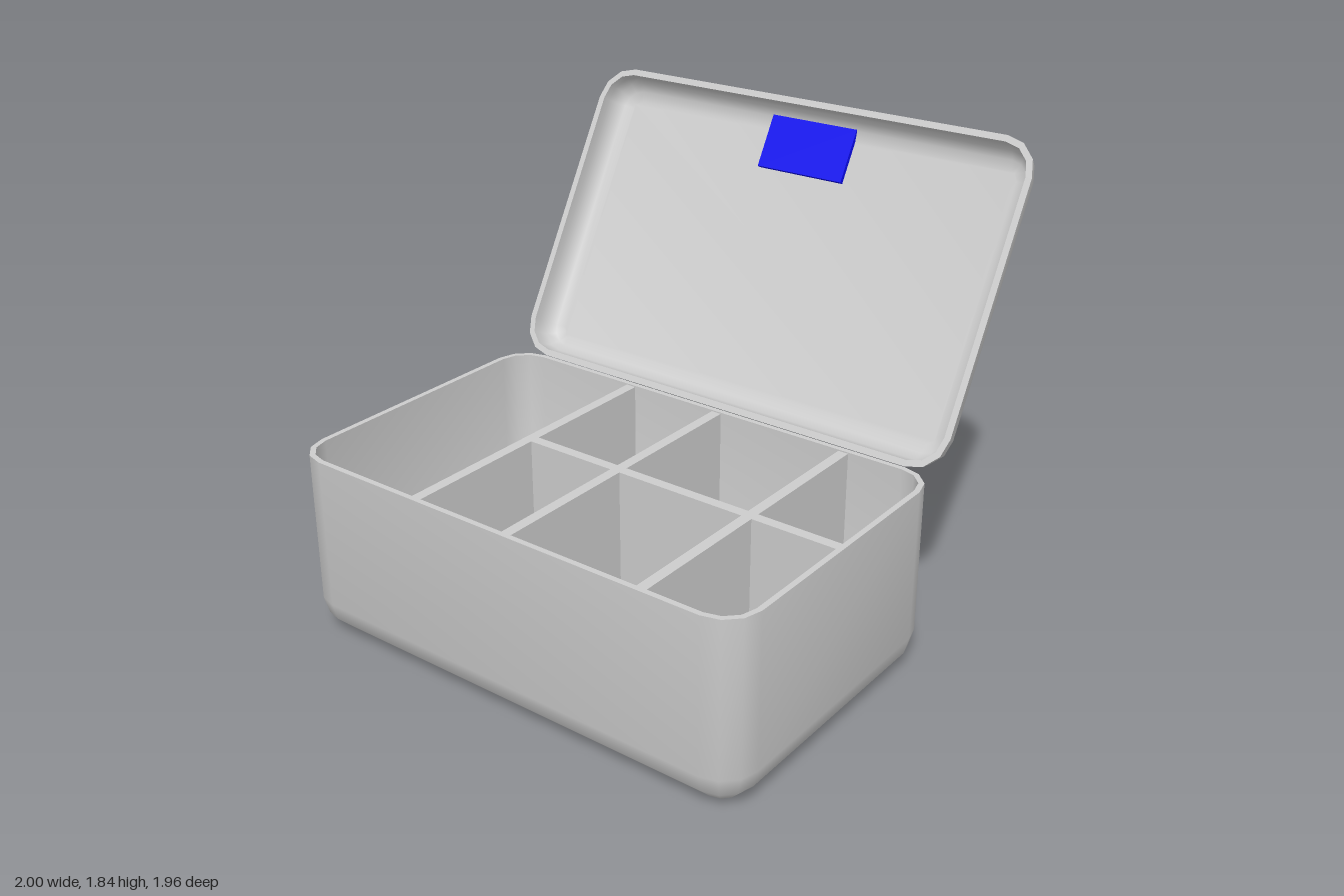
import * as THREE from 'three';
import { mergeGeometries, toCreasedNormals } from 'three/addons/utils/BufferGeometryUtils.js';

const W = 2, D = 1.26, R = 0.14, SEG = 3;
const BOX_H = 0.745, LID_H = 0.137, BACK = -0.28;
const grey = new THREE.MeshStandardMaterial({ color: 0xcccccc });
const blue = new THREE.MeshStandardMaterial({ color: 0x0a0af0 });

function addMesh(parent, name, geometry, material = grey) {
  const mesh = new THREE.Mesh(geometry, material);
  mesh.name = name;
  parent.add(mesh);
  return mesh;
}

// Rounded rectangle as (x, z) points, inset from the full footprint
function ring(inset, radius) {
  const r = Math.max(radius, 0.003), pts = [];
  const cx = W / 2 - inset - r, cz = D / 2 - inset - r;
  [[1, 1], [-1, 1], [-1, -1], [1, -1]].forEach(([sx, sz], q) => {
    for (let i = 0; i <= SEG; i++) {
      const a = (q + i / SEG) * Math.PI / 2;
      pts.push(new THREE.Vector2(sx * cx + r * Math.cos(a), sz * cz + r * Math.sin(a)));
    }
  });
  return pts;
}

// Open-topped rounded tray: outer wall, rim, inner wall, and two floor caps
function tray(height, r, wall, floor, innerR, hole) {
  const rings = [];
  for (let i = 0; i <= SEG; i++) {
    const a = i / SEG * Math.PI / 2, inset = r * (1 - Math.sin(a));
    rings.push({ pts: ring(inset, R - inset), y: r * (1 - Math.cos(a)) });
  }
  rings.push({ pts: ring(0, R), y: height });
  rings.push({ pts: ring(wall, R - wall), y: height });
  for (let i = SEG; i >= 0; i--) {
    const a = i / SEG * Math.PI / 2, inset = wall + innerR * (1 - Math.sin(a));
    rings.push({ pts: ring(inset, R - inset), y: floor + innerR * (1 - Math.cos(a)) });
  }
  const pos = [], index = [], n = rings[0].pts.length;
  rings.forEach(({ pts, y }) => pts.forEach(p => pos.push(p.x, y, p.y)));
  for (let i = 0; i < rings.length - 1; i++) {
    for (let j = 0; j < n; j++) {
      const a = i * n + j, b = i * n + (j + 1) % n;
      index.push(a, a + n, b, b, a + n, b + n);
    }
  }
  const sides = new THREE.BufferGeometry();
  sides.setAttribute('position', new THREE.Float32BufferAttribute(pos, 3));
  sides.setIndex(index);

  const cap = (level, up, cut) => {
    const shape = new THREE.Shape(level.pts);
    if (cut) shape.holes.push(new THREE.Path(cut));
    const g = new THREE.ShapeGeometry(shape);
    g.rotateX(up ? -Math.PI / 2 : Math.PI / 2).translate(0, level.y, 0);
    g.deleteAttribute('uv');
    g.deleteAttribute('normal');
    return g.toNonIndexed();
  };
  const all = [sides.toNonIndexed(), cap(rings[0], false, hole), cap(rings.at(-1), true)];
  return toCreasedNormals(mergeGeometries(all), 0.85);
}

// Upright panel whose lower corners follow the rounded inside of the box
function panelShape(a, b, roundStart) {
  const y0 = 0.02, y1 = BOX_H - 0.005, r = 0.12, s = new THREE.Shape();
  s.moveTo(b - r, y0);
  s.absarc(b - r, y0 + r, r, -Math.PI / 2, 0, false);
  s.lineTo(b, y1);
  s.lineTo(a, y1);
  if (roundStart) s.absarc(a + r, y0 + r, r, Math.PI, Math.PI * 1.5, false);
  else s.lineTo(a, y0);
  s.closePath();
  return s;
}

const extrude = (shape, depth) =>
  new THREE.ExtrudeGeometry(shape, { depth, bevelEnabled: false, curveSegments: 6 });

// Extrudes a (z, y) profile along x, centred on x
const extrudeAlongX = (shape, width, x = 0) =>
  extrude(shape, width).rotateY(-Math.PI / 2).translate(x + width / 2, 0, 0);

function createBox() {
  const box = new THREE.Group();
  box.name = 'box';
  addMesh(box, 'boxShell', tray(BOX_H, R, 0.022, 0.025, 0.118)).position.z = BACK + D / 2;

  // Three cross dividers and one lengthwise divider make seven compartments
  for (const x of [-0.388, 0.036, 0.614]) {
    addMesh(box, 'crossDivider', extrudeAlongX(panelShape(BACK + 0.015, BACK + D - 0.015, true), 0.042, x));
  }
  addMesh(box, 'lengthwiseDivider', extrude(panelShape(-0.388, W / 2 - 0.015, false), 0.042))
    .position.z = 0.329;
  return box;
}

function createLid() {
  // Origin on the hinge line; local -z runs to the free edge, +y is the inside
  const lid = new THREE.Group();
  lid.name = 'lid';
  const v = z => z + D / 2;
  const hole = [[-0.19, v(-1.115)], [-0.19, v(-0.99)], [0.19, v(-0.99)], [0.19, v(-1.115)]]
    .map(p => new THREE.Vector2(...p));
  addMesh(lid, 'lidShell', tray(LID_H, LID_H, 0.025, 0.022, 0.08, hole))
    .position.set(0, -LID_H, -D / 2);

  // Latch: flat on the inside, finger scoop with a raised lip on the outside
  const profile = [
    [1.2, 0.098], [1.2, 0.126], [1.135, 0.141], [1.108, 0.138], [1.08, 0.121],
    [1.03, 0.118], [1.0, 0.13], [0.987, 0.149], [0.98, 0.147], [0.984, 0.098],
  ].map(([d, n]) => new THREE.Vector2(-d, -n));
  addMesh(lid, 'latch', toCreasedNormals(extrudeAlongX(new THREE.Shape(profile), 0.39), 0.7), blue);

  // Small round button beside the latch
  const button = new THREE.Group();
  button.name = 'button';
  button.position.set(0.33, -LID_H, -1.08);
  addMesh(button, 'buttonRing', new THREE.TorusGeometry(0.026, 0.007, 8, 20).rotateX(Math.PI / 2));
  addMesh(button, 'buttonBar', new THREE.BoxGeometry(0.048, 0.01, 0.012));
  lid.add(button);

  lid.position.set(0, BOX_H + 0.002, BACK);
  lid.rotation.x = 1.056;
  return lid;
}

export function createModel() {
  const model = new THREE.Group();
  model.name = 'compartmentBox';
  model.add(createBox(), createLid());
  return model;
}
